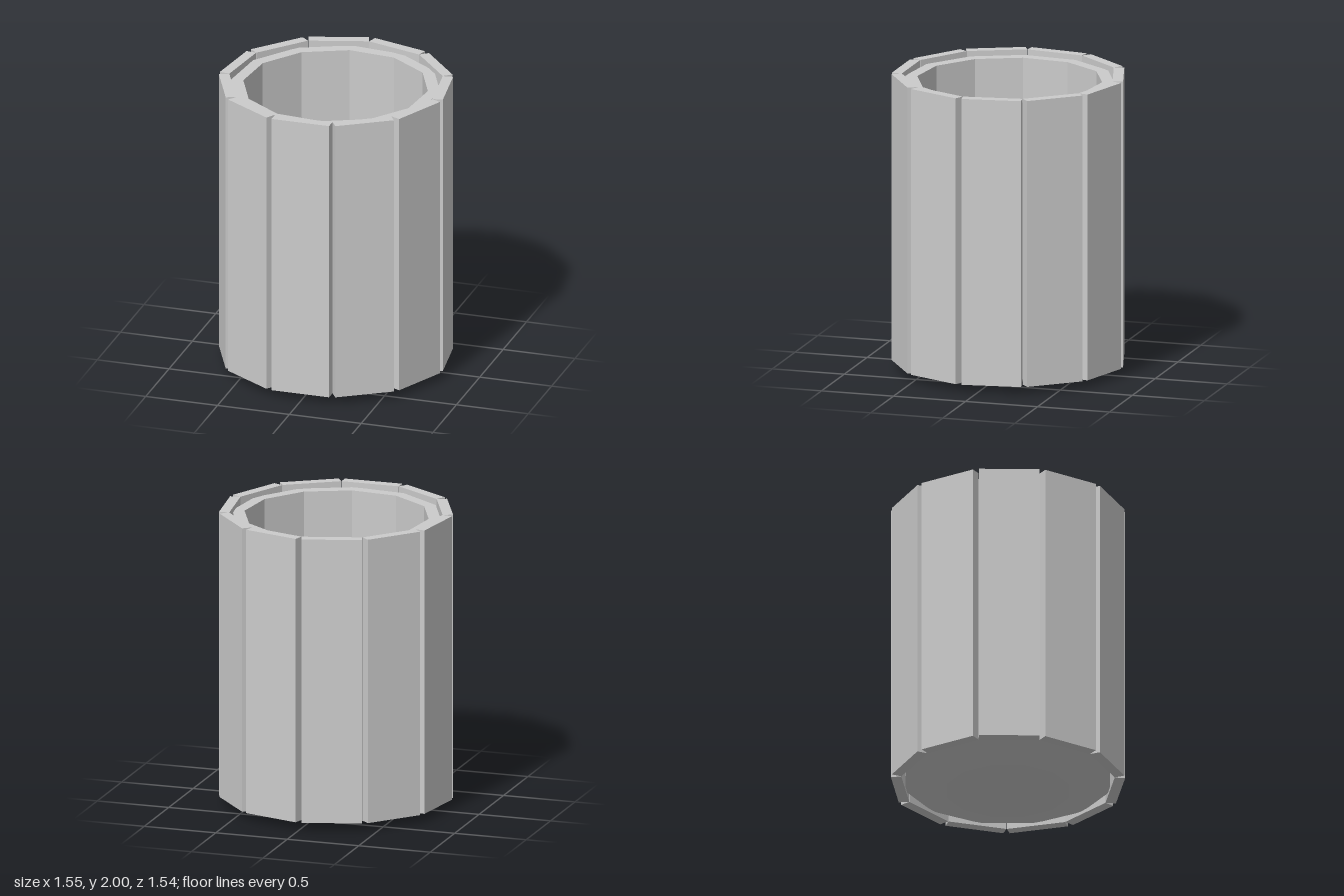
import * as THREE from 'three';

export function createModel() {
  const group = new THREE.Group();
  const material = new THREE.MeshStandardMaterial({ color: 0xcccccc, flatShading: true });
  const centreZ = 0.01;

  // Hollow twelve-sided cup with a chamfered underside
  const profile = [
    [0, 0], [0.415, 0], [0.7, 0.08], [0.7, 1.965],
    [0.618, 1.965], [0.618, 0.1], [0, 0.1],
  ].map(([r, y]) => new THREE.Vector2(r, y));
  const cup = new THREE.Mesh(
    new THREE.LatheGeometry(profile, 12, THREE.MathUtils.degToRad(9.3)), material);
  cup.name = 'innerCup';
  cup.position.z = centreZ;
  group.add(cup);

  // Ring of upright slats around the cup
  const slats = new THREE.Group();
  slats.name = 'slats';
  slats.position.z = centreZ;
  const count = 11, bottom = 0.055, top = 2, thickness = 0.07, outer = 0.755;
  const slatGeometry = new THREE.BoxGeometry(0.4, top - bottom, thickness);
  slatGeometry.translate(0, (top + bottom) / 2, outer - thickness / 2);
  for (let i = 0; i < count; i++) {
    const slat = new THREE.Mesh(slatGeometry, material);
    slat.name = `slat${i + 1}`;
    slat.rotation.y = (i / count) * Math.PI * 2;
    slats.add(slat);
  }
  group.add(slats);

  return group;
}
